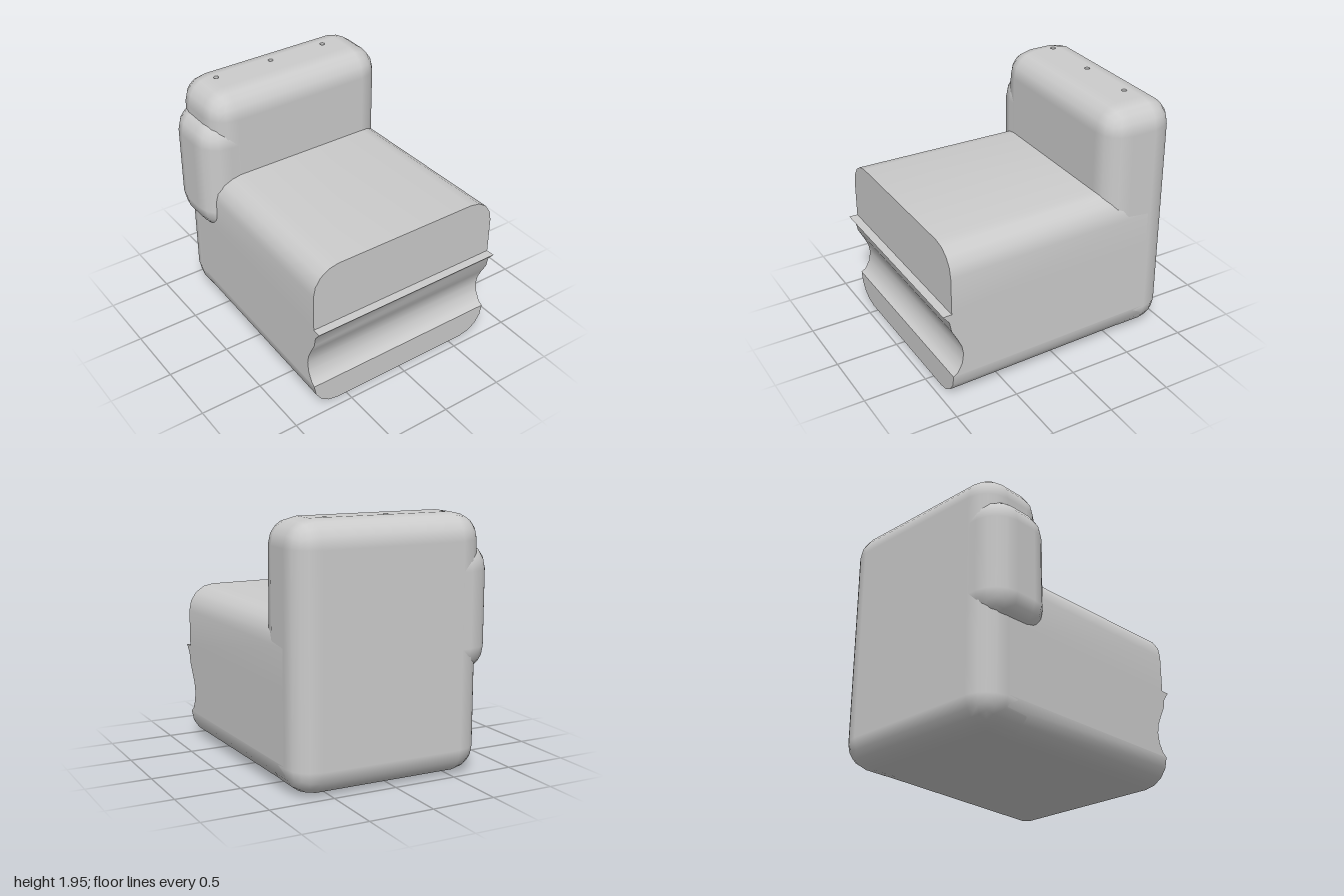
import * as THREE from 'three';
import { RoundedBoxGeometry } from 'three/addons/geometries/RoundedBoxGeometry.js';
import { toCreasedNormals } from 'three/addons/utils/BufferGeometryUtils.js';

const material = new THREE.MeshStandardMaterial({ color: 0xcccccc });
const doubleSided = new THREE.MeshStandardMaterial({ color: 0xcccccc, side: THREE.DoubleSide });
const R = 0.21; // rounding of the long edges
const CX = 0.02; // the body sits slightly off centre

function addMesh(parent, name, geometry, mat = material) {
  const mesh = new THREE.Mesh(geometry, mat);
  mesh.name = name;
  parent.add(mesh);
  return mesh;
}

// Rounded box given by its lower and upper corners
function roundedBox(min, max, radius) {
  const size = max.map((v, i) => v - min[i]);
  const geometry = new RoundedBoxGeometry(...size, 2, radius);
  return geometry.translate(...min.map((v, i) => v + size[i] / 2));
}

// Seat: tapered rounded section whose front carries a groove with a sharp lip
function seatGeometry() {
  const top = 1.27, front = 0.93, back = -0.78;
  const halfWidth = z => 0.77 + 0.04 * (z - back) / (front - back);
  const rows = []; // [inset, y, front z] from the bottom to the top
  const arc = (cy, from) => {
    for (let i = 0; i <= 4; i++) {
      const a = from + i * Math.PI / 8;
      rows.push([R * (1 - Math.cos(a)), cy + R * Math.sin(a), front]);
    }
  };
  arc(R, -Math.PI / 2);
  const groove = [[0.214, 0.93], [0.24, 0.893], [0.31, 0.855], [0.39, 0.843], [0.46, 0.855],
    [0.535, 0.89], [0.62, 0.935], [0.70, 0.95], [0.765, 1], [0.765, 0.93]];
  groove.forEach(([y, z]) => rows.push([0, y, z]));
  arc(top - R, 0);

  const positions = [];
  const point = (row, side, z) => [CX + side * (halfWidth(z) - row[0]), row[1], z];
  const quad = (a, b, c, d) => positions.push(...a, ...b, ...c, ...a, ...c, ...d);
  const corners = row => ({
    lf: point(row, -1, row[2]), rf: point(row, 1, row[2]),
    lb: point(row, -1, back), rb: point(row, 1, back),
  });
  for (let i = 0; i < rows.length - 1; i++) {
    const a = corners(rows[i]), b = corners(rows[i + 1]);
    quad(a.lf, a.rf, b.rf, b.lf); // front
    quad(a.rf, a.rb, b.rb, b.rf); // left side
    quad(a.lb, a.lf, b.lf, b.lb); // right side
  }
  const low = corners(rows[0]), high = corners(rows[rows.length - 1]);
  quad(low.lf, low.lb, low.rb, low.rf);
  quad(high.lf, high.rf, high.rb, high.lb);

  const geometry = new THREE.BufferGeometry();
  geometry.setAttribute('position', new THREE.Float32BufferAttribute(positions, 3));
  return toCreasedNormals(geometry, Math.PI / 5);
}

// Backrest: rounded block with three small holes in its flat top
function buildBackrest() {
  const group = new THREE.Group();
  group.name = 'backrest';
  const r = 0.2, top = 1.95;
  const box = roundedBox([-0.75, 0, -1], [0.79, top, -0.4], r);

  // Take out the flat top so that a pierced panel can replace it
  const source = box.index ? box.toNonIndexed() : box;
  const p = source.attributes.position, n = source.attributes.normal;
  const positions = [], normals = [];
  for (let i = 0; i < p.count; i += 3) {
    if ([0, 1, 2].every(k => p.getY(i + k) > top - 1e-4)) continue;
    for (let k = i; k < i + 3; k++) {
      positions.push(p.getX(k), p.getY(k), p.getZ(k));
      normals.push(n.getX(k), n.getY(k), n.getZ(k));
    }
  }
  const shell = new THREE.BufferGeometry();
  shell.setAttribute('position', new THREE.Float32BufferAttribute(positions, 3));
  shell.setAttribute('normal', new THREE.Float32BufferAttribute(normals, 3));
  addMesh(group, 'backrestShell', shell);

  // Pierced panel, drawn in x and -z, then laid flat
  const x0 = -0.75 + r, x1 = 0.79 - r, y0 = 0.4 + r, y1 = 1 - r;
  const panel = new THREE.Shape([[x0, y0], [x1, y0], [x1, y1], [x0, y1]]
    .map(([x, y]) => new THREE.Vector2(x, y)));
  const holeR = 0.02, depth = 0.15;
  for (const x of [-0.527, -0.04, 0.447]) {
    panel.holes.push(new THREE.Path().absarc(x, 0.75, holeR, 0, Math.PI * 2, true));
    const wall = new THREE.CylinderGeometry(holeR, holeR, depth, 24, 1, true);
    addMesh(group, 'holeWall', wall, doubleSided).position.set(x, top - depth / 2, -0.75);
    const floor = new THREE.CircleGeometry(holeR, 24).rotateX(-Math.PI / 2);
    addMesh(group, 'holeFloor', floor).position.set(x, top - depth, -0.75);
  }
  const panelGeometry = new THREE.ShapeGeometry(panel, 24).rotateX(-Math.PI / 2);
  addMesh(group, 'backrestTop', panelGeometry).position.y = top;
  return group;
}

export function createModel() {
  const model = new THREE.Group();
  model.name = 'chair';
  addMesh(model, 'seat', seatGeometry());
  model.add(buildBackrest());
  // Padded bulge on the right side of the backrest
  addMesh(model, 'sidePad', roundedBox([-0.835, 0.75, -0.998], [-0.35, 1.74, -0.402], R));
  return model;
}
